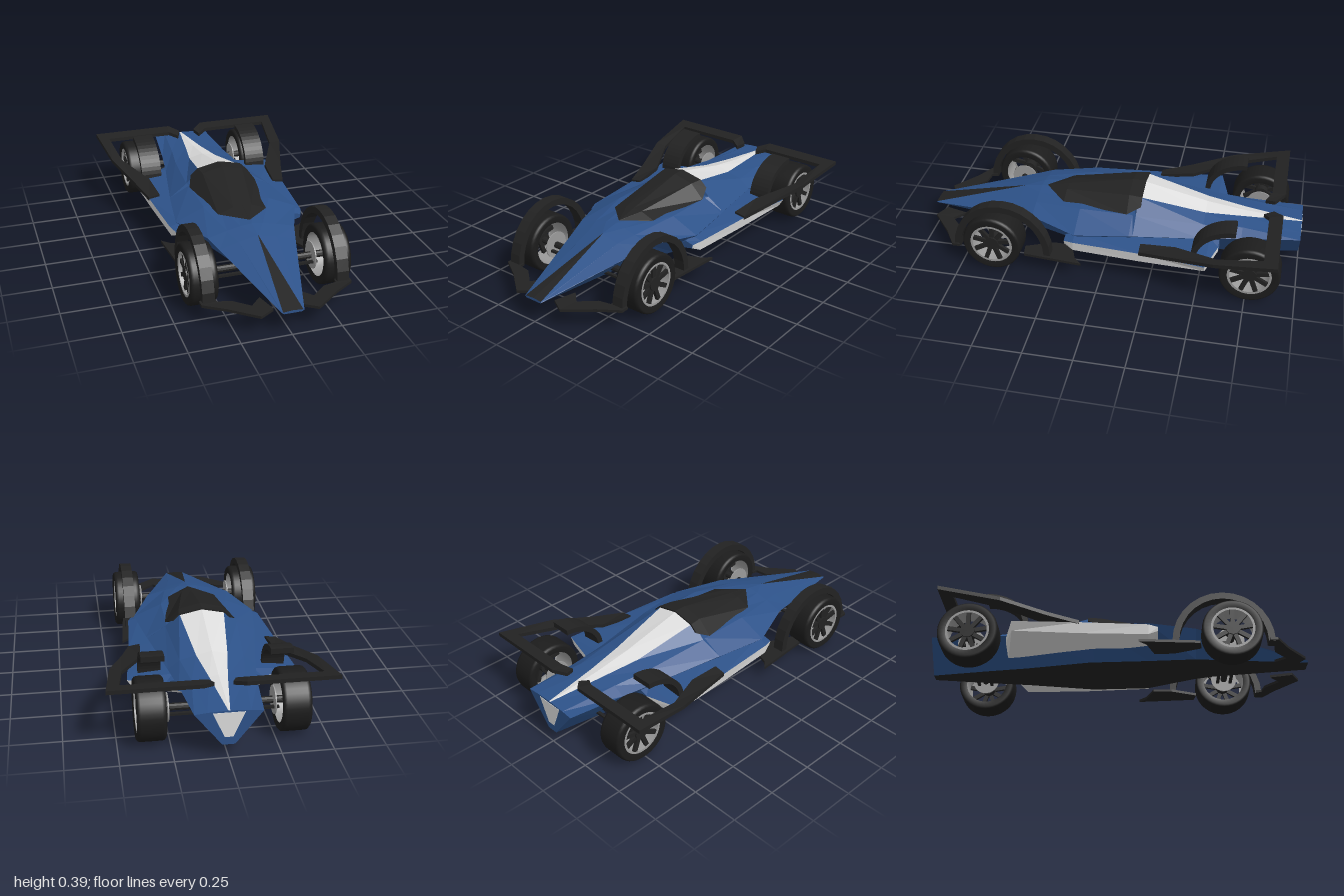
import * as THREE from 'three';

const mat = (name, color, extra = {}) => {
  const m = new THREE.MeshStandardMaterial({ color, flatShading: true, ...extra });
  m.name = name;
  return m;
};

// Skin a list of equal-length rings of [x, y, z]; pick(segment, side) chooses the material slot.
function loft(rings, pick = () => 0, slots = 1) {
  const tris = Array.from({ length: slots }, () => []);
  const n = rings[0].length, last = rings.length - 1;
  for (let i = 0; i < last; i++) {
    for (let j = 0; j < n; j++) {
      const k = (j + 1) % n, out = tris[pick(i, j)];
      const [a, b, c, d] = [rings[i][j], rings[i][k], rings[i + 1][k], rings[i + 1][j]];
      out.push([a, b, c], [a, c, d]);
    }
  }
  for (let j = 1; j < n - 1; j++) {
    tris[0].push([rings[0][0], rings[0][j + 1], rings[0][j]]);
    tris[0].push([rings[last][0], rings[last][j], rings[last][j + 1]]);
  }
  // turn the skin outward if its signed volume is negative
  const v = p => new THREE.Vector3(...p);
  const o = v(rings[0][0]);
  let volume = 0;
  tris.flat().forEach(([a, b, c]) => {
    volume += v(a).sub(o).dot(v(b).sub(o).cross(v(c).sub(o)));
  });
  const geo = new THREE.BufferGeometry(), pos = [];
  tris.forEach((list, slot) => {
    geo.addGroup(pos.length / 3, list.length * 3, slot);
    list.forEach(([a, b, c]) => pos.push(...a, ...(volume < 0 ? [...c, ...b] : [...b, ...c])));
  });
  geo.setAttribute('position', new THREE.Float32BufferAttribute(pos, 3));
  geo.computeVertexNormals();
  return geo;
}

// Half section [[x, y], ...] from centre top downward, mirrored into a full ring.
function mirroredRing(z, half) {
  const left = half.map(([x, y]) => [x, y, z]);
  const right = half.slice(1).reverse().map(([x, y]) => [-x, y, z]);
  return [...left, ...right];
}

export function createModel() {
  const blue = mat('body blue', 0x2d5289);
  const black = mat('trim black', 0x222222);
  const white = mat('panel white', 0xdcdcdc);
  const rubber = mat('tyre rubber', 0x1c1c1c, { flatShading: false });
  const metal = mat('rim metal', 0x9a9a9a, { flatShading: false, side: THREE.DoubleSide });

  const car = new THREE.Group();
  car.name = 'racingCar';
  const add = (name, geo, material, parent = car) => {
    const m = new THREE.Mesh(geo, material);
    m.name = name;
    parent.add(m);
    return m;
  };

  // hull: ridge, spine edge, shoulder, side edge, floor edge
  const hull = [
    [1, [[0, .132], [.05, .128], [.052, .127], [.055, .125], [.045, .118]]],
    [.5, [[0, .268], [.001, .268], [.1, .245], [.2, .215], [.11, .11]]],
    [.4, [[0, .285], [.06, .278], [.13, .262], [.23, .235], [.13, .105]]],
    [.15, [[0, .29], [.1, .29], [.18, .285], [.33, .22], [.18, .075]]],
    [-.13, [[0, .3], [.1, .296], [.18, .285], [.29, .225], [.18, .07]]],
    [-.15, [[0, .385], [.118, .36], [.19, .288], [.285, .225], [.18, .07]]],
    [-.5, [[0, .302], [.078, .282], [.16, .262], [.22, .215], [.11, .07]]],
    [-.7, [[0, .272], [.045, .264], [.13, .252], [.19, .22], [.08, .07]]],
    [-.998, [[0, .246], [.004, .245], [.1, .241], [.16, .235], [.03, .07]]],
  ].map(([z, half]) => mirroredRing(z, half));
  add('hull', loft(hull, (i, j) => {
    if (j === 4) return 1;
    if (j === 0 || j === 8) return i === 0 ? 1 : i >= 5 ? 2 : 0;
    return 0;
  }, 3), [blue, black, white]);

  // canopy
  const canopy = [
    [.367, [[0, .292], [.002, .291], [.004, .29]]],
    [.25, [[0, .317], [.05, .312], [.13, .282]]],
    [-.1, [[0, .387], [.112, .361], [.186, .288]]],
    [-.17, [[0, .388], [.122, .362], [.16, .325]]],
  ].map(([z, half]) => mirroredRing(z, half));
  add('canopy', loft(canopy), black);

  // pale tail panel
  add('tailPanel', loft([-.997, -1].map(z => [[-.075, .236, z], [.075, .236, z], [.02, .11, z], [-.02, .11, z]])), white);

  const tyreProfile = [[.112, -.064], [.143, -.07], [.152, -.062], [.155, -.05], [.155, .05],
    [.152, .062], [.143, .07], [.112, .064]].map(p => new THREE.Vector2(...p));

  for (const s of [1, -1]) {
    const side = s > 0 ? 'left' : 'right';
    const flip = rings => rings.map(r => r.map(([x, y, z]) => [s * x, y, z]));
    // flat plate from plan points [x, z]
    const plate = (pts, y, t) => loft(flip([y, y + t].map(h => pts.map(([x, z]) => [x, h, z]))));
    // flat band from pairs of outer and inner [x, y, z]
    const band = (pairs, t) => loft(flip(pairs.map(([a, b]) =>
      [a, b, [b[0], b[1] - t, b[2]], [a[0], a[1] - t, a[2]]])));

    // side pod: blue top, pale flank and underside
    const pod = [
      [.2, [[.3, .2], [.345, .19], [.34, .17], [.2, .14]]],
      [.15, [[.3, .215], [.362, .197], [.355, .145], [.2, .13]]],
      [-.2, [[.25, .222], [.388, .2], [.378, .143], [.19, .125]]],
      [-.54, [[.2, .212], [.425, .192], [.4, .15], [.14, .12]]],
      [-.59, [[.18, .21], [.24, .19], [.235, .16], [.12, .12]]],
    ].map(([z, ring]) => ring.map(([x, y]) => [x, y, z]));
    add(side + 'SidePod', loft(flip(pod), (i, j) => (j === 1 || j === 2 ? 1 : 0), 2), [blue, white]);

    // curved fenders
    const fender = (z, y, rz, ry, t, end, x0, x1) => {
      const rings = [];
      for (let i = 0; i <= 14; i++) {
        const a = end[0] + (end[1] - end[0]) * i / 14, c = Math.cos(a), q = Math.sin(a);
        const o = [y + ry * q, z + rz * c], n = [y + (ry - t) * q, z + (rz - t) * c];
        rings.push([[x0, ...o], [x1, ...o], [x1, ...n], [x0, ...n]]);
      }
      return loft(flip(rings));
    };
    add(side + 'FrontFender', fender(.53, .095, .26, .277, .035, [0, Math.PI], .31, .37), black);
    add(side + 'RearFender', fender(-.68, .2, .22, .18, .028, [-.1, Math.PI / 2], .255, .367), black);

    // front wing and the plate behind the front wheel
    add(side + 'FrontWing', band([
      [[.38, .11, .76], [.305, .11, .76]], [[.38, .11, .8], [.3, .11, .79]],
      [[.275, .108, .865], [.235, .108, .8]], [[.143, .108, .972], [.155, .108, .87]],
      [[.07, .112, .93], [.1, .112, .815]]], .014), black);
    add(side + 'FloorPlate', plate([[.31, .42], [.375, .41], [.4, .1], [.36, .14], [.25, .18], [.25, .28]], .083, .014), black);

    // rear wing loop
    add(side + 'RearWing', band([
      [[.39, .21, -.2], [.33, .22, -.2]],
      [[.435, .237, -.36], [.345, .237, -.38]],
      [[.51, .285, -.59], [.452, .275, -.6]],
      [[.545, .333, -.9], [.48, .322, -.83]],
      [[.1, .333, -.9], [.115, .322, -.83]],
      [[.045, .315, -.85], [.065, .305, -.8]]], .02), black);

    // wheels with suspension
    for (const [end, z] of [['Front', .575], ['Rear', -.765]]) {
      const wheel = new THREE.Group();
      wheel.name = side + end + 'Wheel';
      wheel.position.set(s * .34, .155, z);
      car.add(wheel);
      add('tyre', new THREE.LatheGeometry(tyreProfile, 40).rotateZ(Math.PI / 2), rubber, wheel);
      add('rim', new THREE.CylinderGeometry(.112, .112, .128, 40, 1, true).rotateZ(Math.PI / 2), metal, wheel);
      add('rimLip', new THREE.RingGeometry(.1, .114, 40).rotateY(Math.PI / 2), metal, wheel).position.x = s * .064;
      add('brakeDisc', new THREE.CylinderGeometry(.07, .07, .006, 32).rotateZ(Math.PI / 2), metal, wheel).position.x = -s * .085;
      add('hub', new THREE.CylinderGeometry(.036, .036, .06, 20).rotateZ(Math.PI / 2), black, wheel).position.x = s * .03;
      for (let i = 0; i < 9; i++) {
        const spoke = new THREE.BoxGeometry(.016, .085, .022).translate(s * .045, .067, 0).rotateX(i * Math.PI * 2 / 9);
        add('spoke', spoke, black, wheel);
      }
      add('axle', new THREE.CylinderGeometry(.018, .018, .27, 10).rotateZ(Math.PI / 2), black, wheel).position.x = -s * .135;
      for (const dz of [-.035, .035]) {
        add('suspensionArm', new THREE.BoxGeometry(.17, .012, .016), black, wheel).position.set(-s * .15, -.02, dz);
      }
    }
  }
  return car;
}
